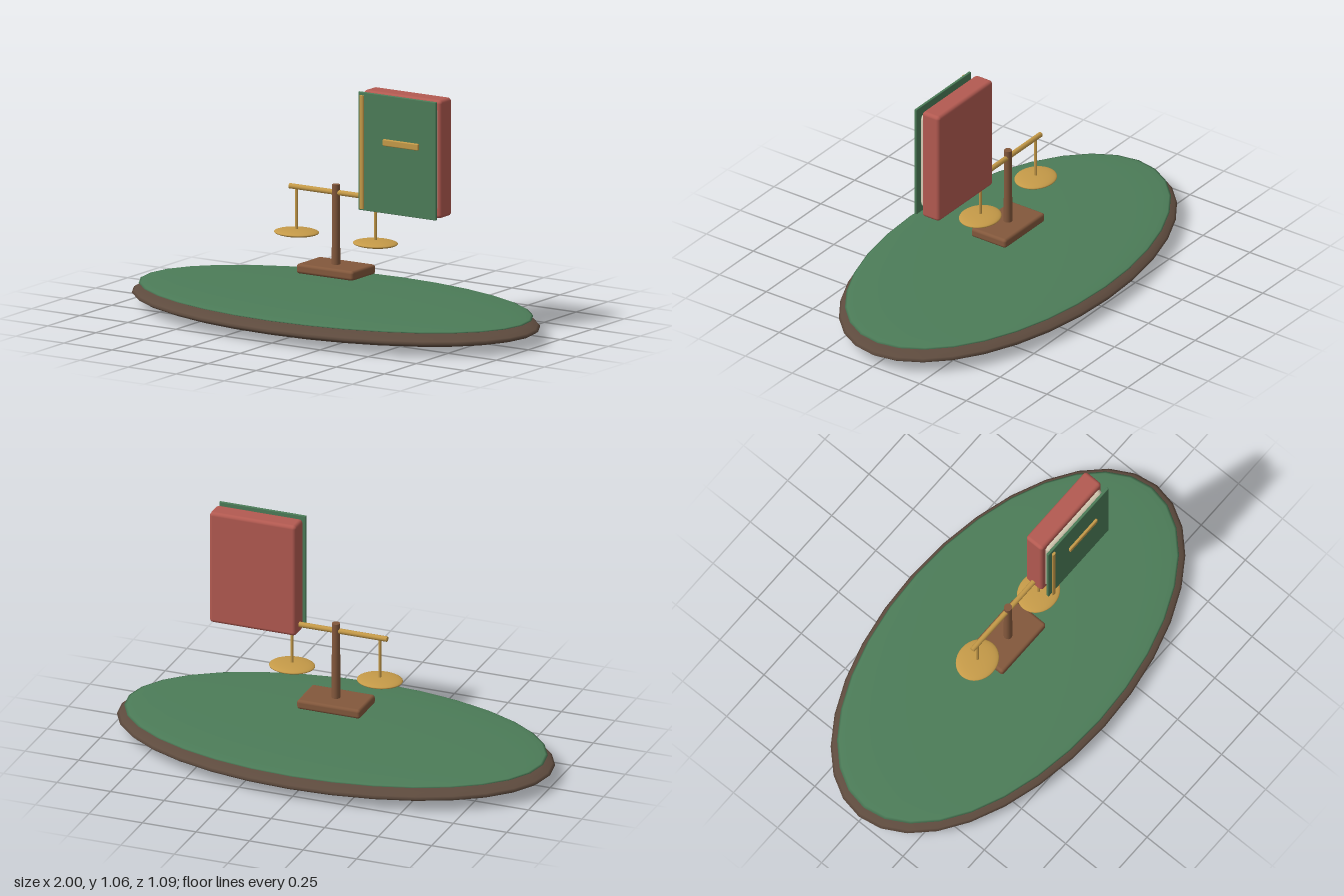
import * as THREE from 'three';
import { RoundedBoxGeometry } from 'three/addons/geometries/RoundedBoxGeometry.js';

const material = (name, color) => {
  const m = new THREE.MeshStandardMaterial({ color });
  m.name = name;
  return m;
};

export function createModel() {
  const group = new THREE.Group();
  const darkWood = material('darkWood', 0x5e4b3e);
  const green = material('green', 0x4c7c58);
  const wood = material('wood', 0x83583c);
  const gold = material('gold', 0xc59a48);
  const red = material('red', 0xb35a51);
  const paper = material('paper', 0xd6ccb4);

  const add = (name, geometry, mat, x, y, z) => {
    const mesh = new THREE.Mesh(geometry, mat);
    mesh.name = name;
    mesh.position.set(x, y, z);
    group.add(mesh);
    return mesh;
  };
  const ellipsoid = (name, mat, rx, ry, rz, x, y, z) =>
    add(name, new THREE.SphereGeometry(1, 32, 20).scale(rx, ry, rz), mat, x, y, z);
  // Rounded box given by its lower and upper limits on each axis
  const block = (name, mat, [x0, x1], [y0, y1], [z0, z1], radius) =>
    add(name, new RoundedBoxGeometry(x1 - x0, y1 - y0, z1 - z0, 3, radius), mat,
      (x0 + x1) / 2, (y0 + y1) / 2, (z0 + z1) / 2);

  // Oval table top with felt
  ellipsoid('tableTop', darkWood, 1, 0.059, 0.545, 0, 0.059, 0);
  ellipsoid('felt', green, 0.967, 0.019, 0.522, 0, 0.103, 0);

  // Scale stand
  block('scaleBase', wood, [-0.148, 0.148], [0.216, 0.259], [-0.093, 0.093], 0.013);
  add('scalePost', new THREE.CylinderGeometry(0.018, 0.019, 0.37, 16), wood, 0, 0.427, 0);
  const beam = add('scaleBeam', new THREE.CylinderGeometry(0.012, 0.012, 0.48, 12), gold, 0, 0.577, 0);
  beam.rotation.z = Math.PI / 2;

  // Hanging rods and pans
  for (const side of [-1, 1]) {
    add('panRod', new THREE.CylinderGeometry(0.0065, 0.0065, 0.2, 8), gold, side * 0.205, 0.477, 0);
    ellipsoid('pan', gold, 0.102, 0.015, 0.088, side * 0.205, 0.376, 0);
  }

  // Book: red body, pages and green front cover
  block('bookBody', red, [0.171, 0.575], [0.536, 1.06], [-0.046, 0.047], 0.016);
  block('pages', paper, [0.195, 0.56], [0.566, 1.03], [0.01, 0.071], 0.024);
  block('frontCover', green, [0.171, 0.575], [0.536, 1.06], [0.073, 0.085], 0.003);

  // Gold trim on the cover
  add('spineTrim', new THREE.CylinderGeometry(1, 1, 0.502, 10).scale(0.011, 1, 0.006), gold, 0.196, 0.796, 0.094);
  block('coverBar', gold, [0.305, 0.49], [0.837, 0.867], [0.084, 0.097], 0.005);

  return group;
}
